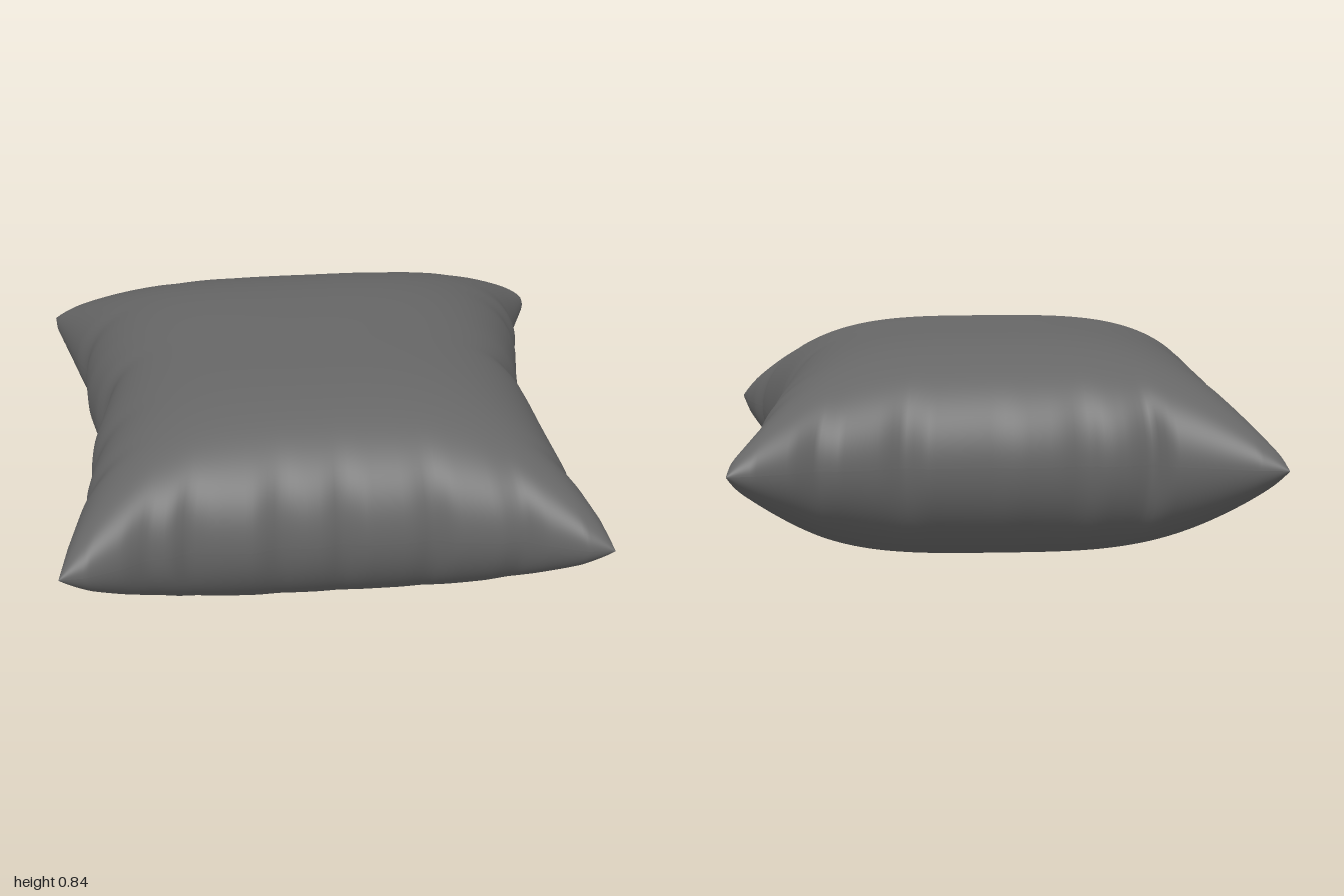
import * as THREE from 'three';

// Seam outline: [position along the edge, distance from the centre]
const SEAMS = {
  back: [[-1, 1], [-0.9, 0.99], [-0.6, 0.89], [-0.53, 0.835], [-0.45, 0.865], [-0.37, 0.875], [-0.29, 0.85],
    [-0.2, 0.87], [-0.05, 0.88], [0.03, 0.87], [0.28, 0.88], [0.36, 0.85], [0.44, 0.88], [0.6, 0.91],
    [0.67, 0.895], [0.76, 0.945], [0.9, 0.99], [1, 1]],
  front: [[-1, 0.99], [-0.9, 0.985], [-0.77, 0.94], [-0.68, 0.89], [-0.6, 0.89], [-0.53, 0.855], [-0.45, 0.875],
    [-0.29, 0.885], [-0.2, 0.85], [-0.12, 0.87], [-0.04, 0.87], [0.03, 0.845], [0.11, 0.87], [0.28, 0.87],
    [0.36, 0.85], [0.44, 0.885], [0.6, 0.905], [0.68, 0.895], [0.76, 0.935], [0.9, 0.985], [1, 0.99]],
  right: [[-1, 1], [-0.93, 0.995], [-0.8, 0.96], [-0.6, 0.91], [-0.52, 0.87], [-0.43, 0.88], [-0.28, 0.875],
    [-0.12, 0.845], [-0.04, 0.795], [0.03, 0.82], [0.1, 0.84], [0.2, 0.865], [0.28, 0.87], [0.36, 0.855],
    [0.44, 0.88], [0.52, 0.895], [0.6, 0.885], [0.67, 0.925], [0.85, 0.97], [1, 1]],
  left: [[-1, 0.99], [-0.93, 0.985], [-0.8, 0.93], [-0.69, 0.89], [-0.6, 0.9], [-0.52, 0.865], [-0.44, 0.875],
    [-0.28, 0.85], [-0.12, 0.83], [-0.04, 0.8], [0.04, 0.77], [0.1, 0.83], [0.2, 0.85], [0.36, 0.87],
    [0.6, 0.905], [0.67, 0.905], [0.75, 0.945], [0.87, 0.98], [1, 1]],
};
const HALF = 0.42; // half of the thickness, also the seam height
const N = 112;     // grid divisions per panel

function seamAt(points, t) {
  let i = 1;
  while (i < points.length - 1 && points[i][0] < t) i++;
  const [a, b] = [points[i - 1], points[i]];
  return THREE.MathUtils.mapLinear(t, a[0], b[0], a[1], b[1]);
}

// Smooth cloth inside, gathered into the pleated outline towards the seam
function spread(u, v, negative, positive) {
  const smooth = 0.87 + 0.13 * Math.abs(v) ** 3;
  const edge = seamAt(u < 0 ? negative : positive, v);
  const r = Math.abs(u);
  return Math.sign(u) * (r * smooth + (edge - smooth) * r ** 8);
}

// One stuffed cloth panel; side is 1 for the top and -1 for the bottom
function panel(side) {
  const positions = [], index = [];
  const param = (i) => Math.sin((i / N - 0.5) * Math.PI); // denser near the seam
  for (let j = 0; j <= N; j++) {
    for (let i = 0; i <= N; i++) {
      const u = param(i), v = param(j);
      const puff = Math.sqrt(Math.max(0, (1 - Math.abs(u) ** 3.4) * (1 - Math.abs(v) ** 3.4)));
      positions.push(
        spread(u, v, SEAMS.right, SEAMS.left),
        HALF + side * HALF * puff,
        spread(v, u, SEAMS.back, SEAMS.front));
      if (i < N && j < N) {
        const a = j * (N + 1) + i, b = a + 1, c = a + N + 1, d = c + 1;
        if (side > 0) index.push(a, c, b, b, c, d);
        else index.push(a, b, c, b, d, c);
      }
    }
  }
  const geometry = new THREE.BufferGeometry();
  geometry.setAttribute('position', new THREE.Float32BufferAttribute(positions, 3));
  geometry.setIndex(index);
  geometry.computeVertexNormals();
  return geometry;
}

export function createModel() {
  const group = new THREE.Group();
  group.name = 'pillow';
  const cloth = new THREE.MeshStandardMaterial({ color: 0x666666 });
  for (const [name, side] of [['topPanel', 1], ['bottomPanel', -1]]) {
    const mesh = new THREE.Mesh(panel(side), cloth);
    mesh.name = name;
    group.add(mesh);
  }
  return group;
}
